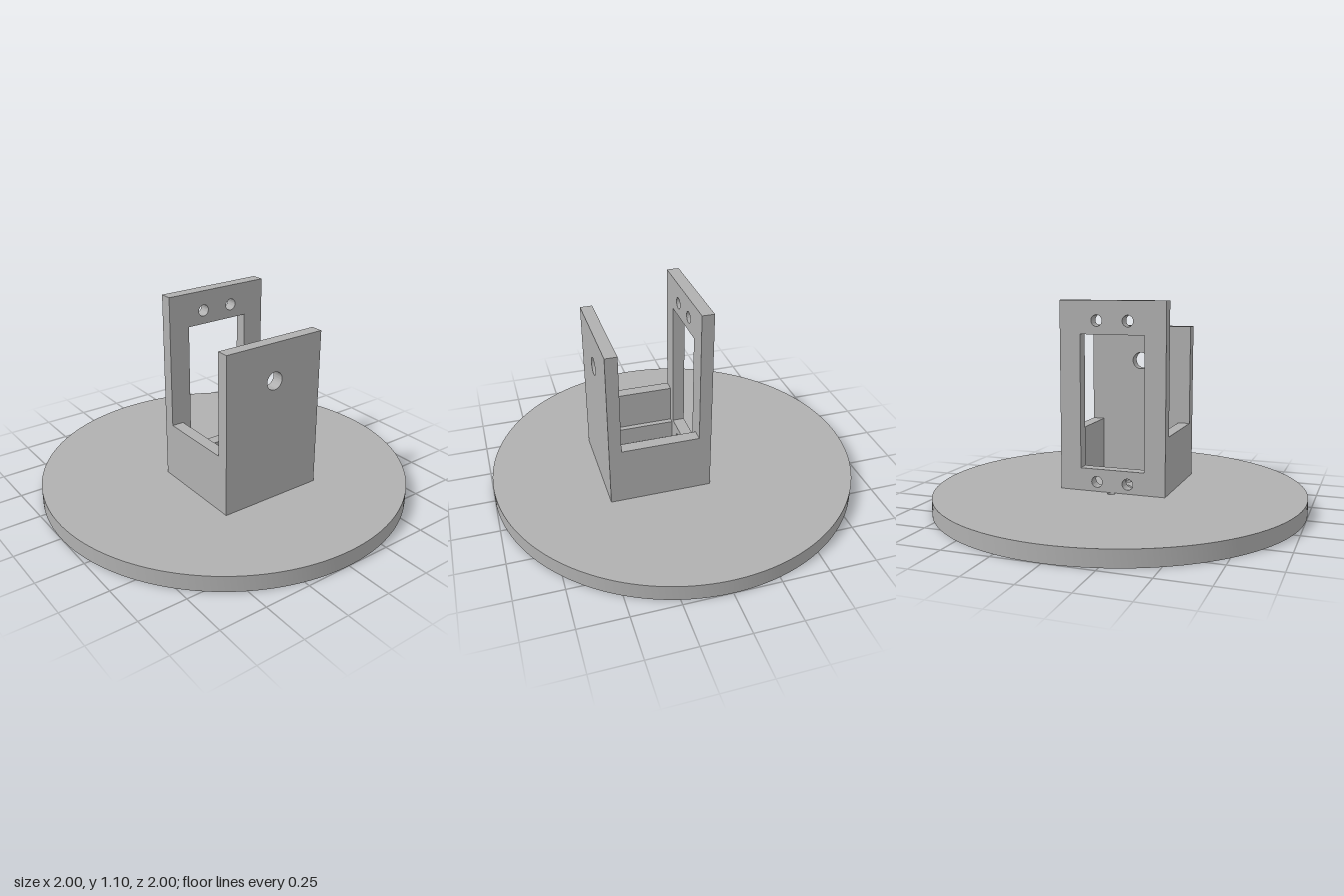
import * as THREE from 'three';
import { toCreasedNormals } from 'three/addons/utils/BufferGeometryUtils.js';

const DISC_TOP = 0.085, HALF_W = 0.2925, WALL = 0.065;
const BACK = -0.125, FRONT = 0.42;

function circleHole(x, y, r) {
  const path = new THREE.Path();
  path.absarc(x, y, r, 0, Math.PI * 2, true);
  return path;
}

function rectPath(path, x0, y0, x1, y1) {
  path.moveTo(x0, y0);
  path.lineTo(x1, y0);
  path.lineTo(x1, y1);
  path.lineTo(x0, y1);
  path.closePath();
  return path;
}

// Extrudes a shape with holes, smooth round the curves and sharp at the rims
function plate(shape, holes, depth, curveSegments) {
  shape.holes.push(...holes);
  const geometry = new THREE.ExtrudeGeometry(shape, { depth, bevelEnabled: false, curveSegments });
  return toCreasedNormals(geometry, 0.6);
}

export function createModel() {
  const model = new THREE.Group();
  const grey = new THREE.MeshStandardMaterial({ color: 0xb0b0b0 });
  grey.name = 'plain grey';

  function add(name, geometry, x = 0, y = 0, z = 0) {
    const mesh = new THREE.Mesh(geometry, grey);
    mesh.name = name;
    mesh.position.set(x, y, z);
    model.add(mesh);
    return mesh;
  }

  // Round base with a shaft hole and four screw holes
  const disc = new THREE.Shape();
  disc.absarc(0, 0, 1, 0, Math.PI * 2, false);
  const discHoles = [circleHole(0, 0, 0.0625)];
  for (let i = 0; i < 4; i++) {
    const a = i * Math.PI / 2;
    discHoles.push(circleHole(0.139 * Math.cos(a), 0.139 * Math.sin(a), 0.02));
  }
  add('baseDisc', plate(disc, discHoles, DISC_TOP, 96)).rotation.x = -Math.PI / 2;

  // Front plate with one pivot hole
  const front = rectPath(new THREE.Shape(), -HALF_W, DISC_TOP, HALF_W, 0.945);
  add('frontPlate', plate(front, [circleHole(0, 0.745, 0.047)], WALL, 32), 0, 0, FRONT - WALL);

  // Taller back plate: rectangular window with a pair of screw holes above and below
  const back = rectPath(new THREE.Shape(), -HALF_W, DISC_TOP, HALF_W, 1.1);
  const backHoles = [rectPath(new THREE.Path(), -0.178, 0.207, 0.178, 0.923)];
  for (const x of [-0.086, 0.086]) {
    for (const y of [0.137, 0.995]) backHoles.push(circleHole(x, y, 0.03));
  }
  add('backPlate', plate(back, backHoles, WALL, 32), 0, 0, BACK);

  // Low side walls joining the plates
  const length = FRONT - BACK - 2 * WALL;
  const midZ = (FRONT + BACK) / 2;
  const height = 0.395 - DISC_TOP;
  for (const [name, side] of [['leftWall', 1], ['rightWall', -1]]) {
    add(name, new THREE.BoxGeometry(WALL, height, length),
      side * (HALF_W - WALL / 2), DISC_TOP + height / 2, midZ);
  }

  // Narrow ledge along the foot of the right wall
  add('innerLedge', new THREE.BoxGeometry(0.03, 0.1, length), -0.2125, DISC_TOP + 0.05, midZ);

  return model;
}
